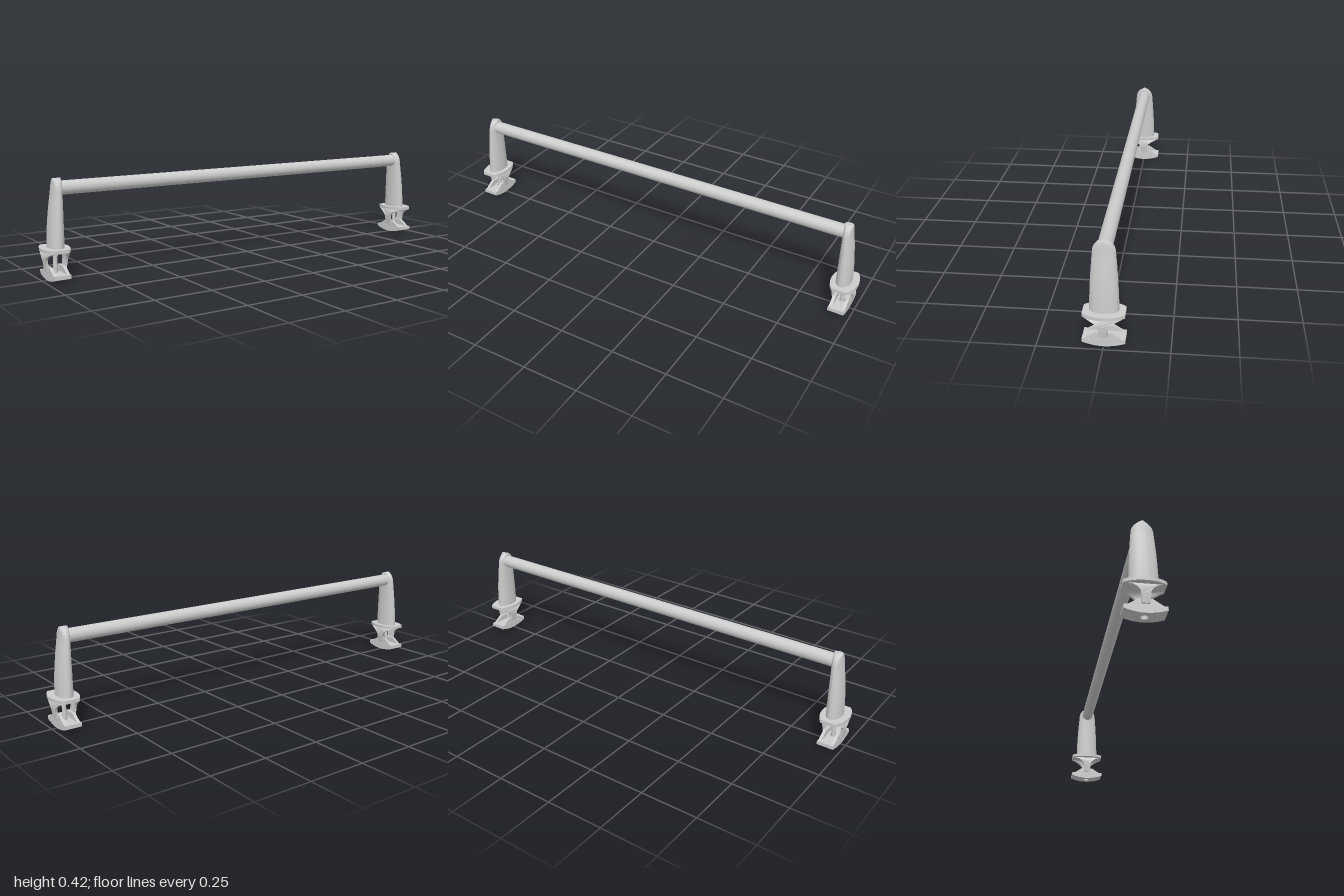
import * as THREE from 'three';
import { toCreasedNormals } from 'three/addons/utils/BufferGeometryUtils.js';

const mat = new THREE.MeshStandardMaterial({ color: 0xcccccc, side: THREE.DoubleSide });
const CX = 0.942; // centre of each foot along the bar

function add(parent, name, geo, x = 0, y = 0, z = 0) {
  const m = new THREE.Mesh(geo, mat);
  m.name = name;
  m.position.set(x, y, z);
  parent.add(m);
  return m;
}

// Extrude a (z, y) outline along x, centred on x = 0
function extrudeX(points, width) {
  const shape = new THREE.Shape(points.map(([z, y]) => new THREE.Vector2(z, y)));
  const g = new THREE.ExtrudeGeometry(shape, { depth: width, bevelEnabled: false });
  g.translate(0, 0, -width / 2);
  g.rotateY(-Math.PI / 2);
  return g;
}

// Extrude an (x, z) shape upward from y = 0
function extrudeY(shape, height) {
  const g = new THREE.ExtrudeGeometry(shape, { depth: height, bevelEnabled: false, curveSegments: 24 });
  g.rotateX(-Math.PI / 2);
  return g;
}

const mirrorZ = (half) => [...half, ...half.slice().reverse().map(([z, y]) => [-z, y])];

// Post: oval rings, tapering on the outside and rounded over the top
function postGeometry() {
  const N = 48, rings = [], pos = [], idx = [];
  const outer = new THREE.SplineCurve([[0.135, 0.971], [0.22, 0.966], [0.3, 0.957], [0.37, 0.947], [0.418, 0.943]]
    .map((p) => new THREE.Vector2(...p)));
  const half = (y) => 0.056 - 0.013 * Math.pow((y - 0.135) / 0.243, 1.7);
  for (let i = 0; i <= 16; i++) {
    const p = outer.getPoint((i / 16) * 0.74);
    rings.push([p.x, p.y, half(p.x)]);
  }
  const [y0, x0, w0] = rings[16];
  for (let i = 1; i <= 12; i++) {
    const a = (i / 12) * Math.PI / 2, s = Math.sin(a);
    rings.push([y0 + (0.418 - y0) * s, x0 + (0.943 - x0) * s, w0 * Math.cos(a)]);
  }
  for (const [y, xo, w] of rings) {
    const xi = 0.906, c = (xo + xi) / 2, r = (xo - xi) / 2;
    for (let j = 0; j < N; j++) {
      const a = (j / N) * Math.PI * 2;
      pos.push(c + r * Math.cos(a), y, w * Math.sin(a));
    }
  }
  for (let i = 0; i < rings.length - 1; i++) for (let j = 0; j < N; j++) {
    const a = i * N + j, b = i * N + (j + 1) % N;
    idx.push(a, a + N, b, b, a + N, b + N);
  }
  const g = new THREE.BufferGeometry();
  g.setAttribute('position', new THREE.Float32BufferAttribute(pos, 3));
  g.setIndex(idx);
  return toCreasedNormals(g, 0.7);
}

// Half width of the oval flange at a given z
const ovalX = (z) => 0.0575 * Math.sqrt(Math.max(0, 1 - (z / 0.095) ** 2));

function flangeGeometry() {
  const right = [];
  for (let i = 0; i <= 32; i++) {
    const z = -0.08 + 0.005 * i;
    right.push(new THREE.Vector2(ovalX(z), z));
  }
  const left = right.slice().reverse().map((p) => new THREE.Vector2(-p.x, p.y));
  return toCreasedNormals(extrudeY(new THREE.Shape([...right, ...left]), 0.014), 0.5);
}

// Side arm: T-shaped web bent to follow the flange and leaning inward below
function armGeometry(side) {
  const half = [[0.078, 0.123], [0.066, 0.119], [0.05, 0.112], [0.035, 0.103], [0.025, 0.094],
    [0.019, 0.084], [0.018, 0.07], [0.0165, 0.04], [0.014, 0.038]];
  const g = extrudeX(mirrorZ(half), 0.01);
  const p = g.attributes.position;
  for (let i = 0; i < p.count; i++) {
    const lean = 0.014 * (0.123 - p.getY(i)) / 0.085;
    p.setX(i, p.getX(i) + side * (ovalX(p.getZ(i)) - 0.007 - lean));
  }
  return toCreasedNormals(g, 0.5);
}

// Arched underside of the clamp foot
const sole = (z) => 0.001 + 0.015 * (z / 0.081) ** 2;

function buildFoot() {
  const foot = new THREE.Group();
  foot.name = 'clampFoot';
  // Base plate: drilled middle with a curved wing on each side
  const block = new THREE.Shape([[-0.036, -0.018], [0.036, -0.018], [0.036, 0.018], [-0.036, 0.018]]
    .map((p) => new THREE.Vector2(...p)));
  block.holes.push(new THREE.Path().absarc(0, 0, 0.015, 0, Math.PI * 2, true));
  add(foot, 'drilledPlate', extrudeY(block, 0.031), 0, 0.001, 0);
  const wing = [];
  for (let i = 0; i <= 8; i++) {
    const z = 0.018 + (0.063 * i) / 8;
    wing.push([z, sole(z)]);
  }
  wing.push([0.081, 0.032], [0.066, 0.032], [0.018, 0.032]);
  for (const s of [1, -1]) {
    const w = add(foot, 'plateWing', toCreasedNormals(extrudeX(wing, 0.072), 0.4));
    w.rotation.y = s > 0 ? 0 : Math.PI;
    // Raised ribs
    const rib = mirrorZ([[0.07, 0.03], [0.062, 0.035], [0.027, 0.058]]);
    add(foot, 'rib', extrudeX(rib, 0.013), s * 0.0285);
  }
  return foot;
}

function buildSupport() {
  const g = new THREE.Group();
  g.name = 'support';
  add(g, 'post', postGeometry());
  const mount = new THREE.Group();
  mount.name = 'mount';
  mount.position.x = CX;
  g.add(mount);
  add(mount, 'flange', flangeGeometry(), 0, 0.122, 0);
  for (const s of [1, -1]) add(mount, 'sideArm', armGeometry(s));
  // Clamping bolt with its collar
  add(mount, 'bolt', new THREE.CylinderGeometry(0.009, 0.009, 0.112, 20), 0, 0.072, 0);
  add(mount, 'boltCollar', new THREE.CylinderGeometry(0.015, 0.012, 0.024, 20), 0, 0.112, 0);
  mount.add(buildFoot());
  return g;
}

export function createModel() {
  const model = new THREE.Group();
  model.name = 'barHandle';
  const bar = new THREE.CylinderGeometry(0.029, 0.029, 1.85, 40);
  bar.rotateZ(Math.PI / 2);
  add(model, 'crossBar', bar, 0, 0.377, 0);
  const left = buildSupport();
  left.name = 'leftSupport';
  const right = buildSupport();
  right.name = 'rightSupport';
  right.rotation.y = Math.PI;
  model.add(left, right);
  return model;
}
